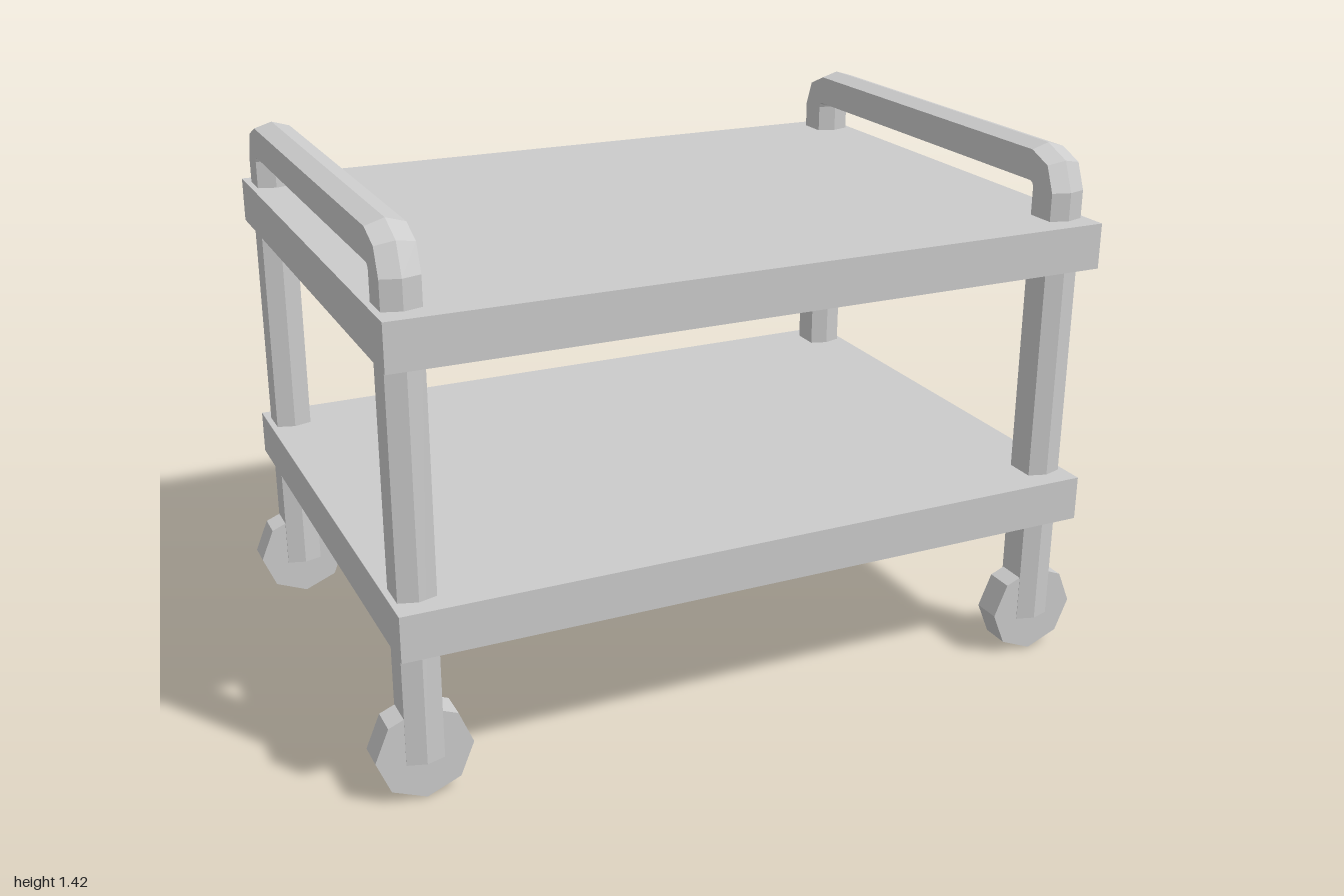
import * as THREE from 'three';

const material = new THREE.MeshStandardMaterial({ color: 0xcccccc, flatShading: true, side: THREE.DoubleSide });
const FRAME_Z = -0.009; // the tube frames sit slightly behind centre
const INNER_Z = 0.536;  // half gap between the two posts of a frame
const BEND_Y = 1.31;    // height of the inner bend corners
const SIDE_X = 0.877;

function add(parent, name, geometry, x = 0, y = 0, z = 0) {
  const mesh = new THREE.Mesh(geometry, material);
  mesh.name = name;
  mesh.position.set(x, y, z);
  parent.add(mesh);
  return mesh;
}

// Inverted U of six-sided tube: each ring is [pivot z, pivot y, angle],
// with the section fanning outwards from the inner edge.
function frameGeometry() {
  const section = [[0, 0], [0.048, 0.0145], [0.048, 0.0945], [0, 0.109], [-0.048, 0.0945], [-0.048, 0.0145]];
  const rings = [[INNER_Z, 0.1, 0]];
  for (const step of [0, 1, 2]) rings.push([INNER_Z, BEND_Y, step * Math.PI / 4]);
  for (const step of [2, 3, 4]) rings.push([-INNER_Z, BEND_Y, step * Math.PI / 4]);
  rings.push([-INNER_Z, 0.1, Math.PI]);

  const positions = [];
  const indices = [];
  const n = section.length;
  for (const [z, y, angle] of rings) {
    for (const [x, d] of section) positions.push(x, y + d * Math.sin(angle), z + d * Math.cos(angle));
  }
  for (let i = 0; i < rings.length - 1; i++) {
    for (let j = 0; j < n; j++) {
      const a = i * n + j;
      const b = i * n + (j + 1) % n;
      indices.push(a, a + n, b, b, a + n, b + n);
    }
  }
  // Caps at the feet of both posts
  const last = (rings.length - 1) * n;
  for (let j = 1; j < n - 1; j++) {
    indices.push(0, j, j + 1, last, last + j + 1, last + j);
  }
  const geometry = new THREE.BufferGeometry();
  geometry.setAttribute('position', new THREE.Float32BufferAttribute(positions, 3));
  geometry.setIndex(indices);
  const flat = geometry.toNonIndexed();
  flat.computeVertexNormals();
  return flat;
}

export function createModel() {
  const cart = new THREE.Group();
  cart.name = 'trolley';

  // Two flat shelves
  const shelf = new THREE.BoxGeometry(1.882, 0.119, 1.376);
  add(cart, 'upperShelf', shelf, 0, 1.177, 0);
  add(cart, 'lowerShelf', shelf, 0, 0.474, 0);

  // Handle frames and eight-sided wheels on both sides
  const frame = frameGeometry();
  const wheel = new THREE.CylinderGeometry(0.123, 0.123, 0.076, 8).rotateX(Math.PI / 2);
  for (const [side, sx] of [['left', 1], ['right', -1]]) {
    add(cart, side + 'HandleFrame', frame, sx * SIDE_X, 0, FRAME_Z);
    for (const [end, sz] of [['Front', 1], ['Back', -1]]) {
      add(cart, side + end + 'Wheel', wheel, sx * SIDE_X, 0.123, FRAME_Z + sz * (INNER_Z + 0.0555));
    }
  }
  return cart;
}
